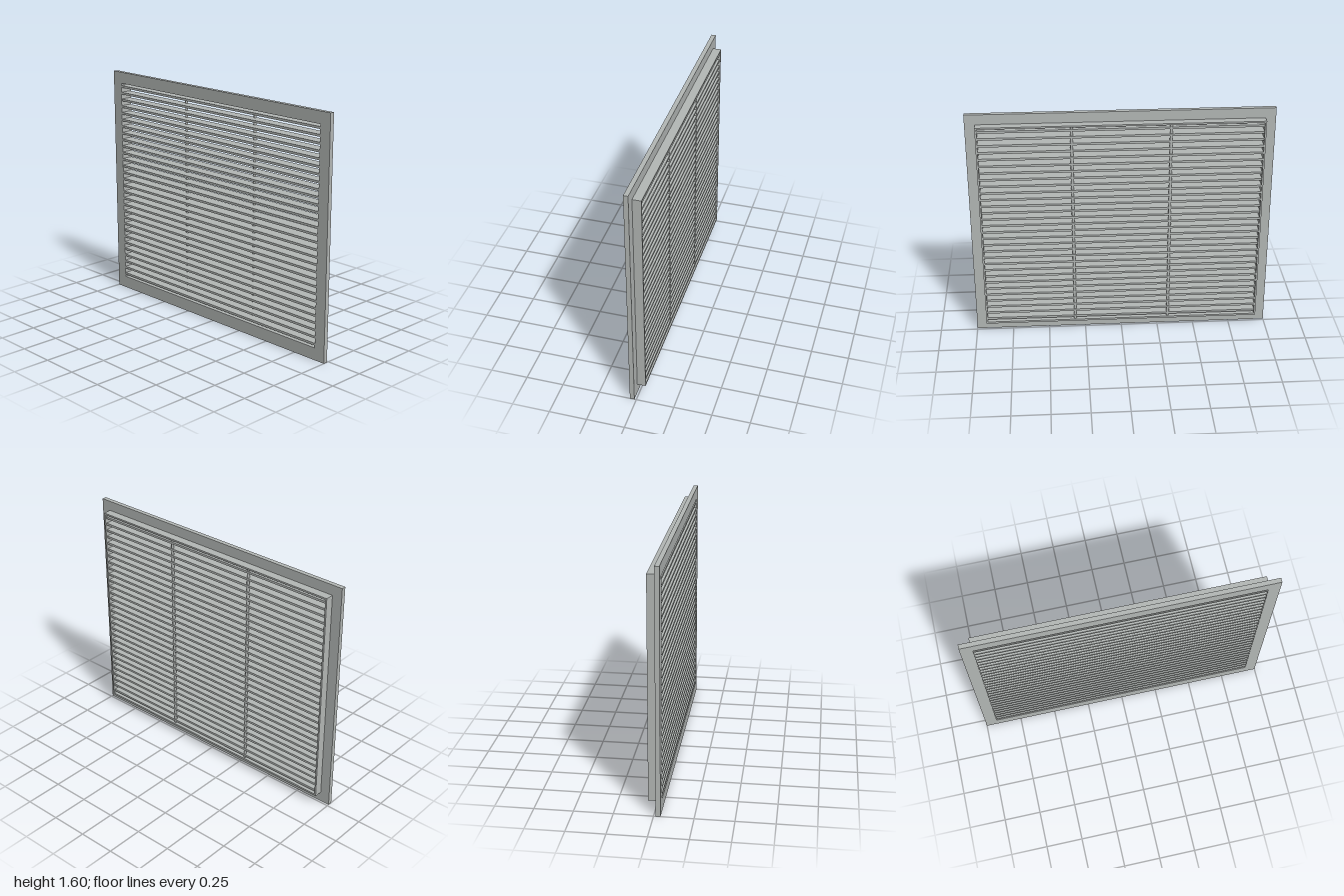
import * as THREE from 'three';

const metal = new THREE.MeshStandardMaterial({ color: 0xb4b8b6 });
metal.name = 'light grey metal';

// Rectangular outline centred on x, between two heights
function rect(target, halfWidth, bottom, top) {
  target.moveTo(-halfWidth, bottom);
  target.lineTo(halfWidth, bottom);
  target.lineTo(halfWidth, top);
  target.lineTo(-halfWidth, top);
  target.closePath();
  return target;
}

// Rectangular ring, extruded from zBack to zFront
function ring(name, outer, inner, zBack, zFront) {
  const shape = rect(new THREE.Shape(), ...outer);
  shape.holes.push(rect(new THREE.Path(), ...inner));
  const geometry = new THREE.ExtrudeGeometry(shape, { depth: zFront - zBack, bevelEnabled: false });
  geometry.translate(0, 0, zBack);
  const mesh = new THREE.Mesh(geometry, metal);
  mesh.name = name;
  return mesh;
}

export function createModel() {
  const model = new THREE.Group();
  model.name = 'ventGrille';

  const opening = [0.922, 0.083, 1.521];

  // Front flange and the sleeve behind it
  model.add(ring('frontFlange', [1, 0, 1.6], opening, 0.013, 0.043));
  model.add(ring('rearSleeve', [0.933, 0.07, 1.532], opening, -0.043, 0.013));

  // Horizontal slats
  const slats = new THREE.Group();
  slats.name = 'slats';
  const count = 30, pitch = 0.048;
  const slatGeometry = new THREE.BoxGeometry(1.846, 0.015, 0.078);
  for (let i = 0; i < count; i++) {
    const slat = new THREE.Mesh(slatGeometry, metal);
    slat.name = 'slat';
    slat.position.set(0, 0.802 + (i - (count - 1) / 2) * pitch, 0.003);
    slats.add(slat);
  }
  model.add(slats);

  // Upright rods tying the slats together near the back
  const rodGeometry = new THREE.CylinderGeometry(0.0095, 0.0095, 1.44, 16);
  for (const side of [-1, 1]) {
    const rod = new THREE.Mesh(rodGeometry, metal);
    rod.name = side > 0 ? 'leftRod' : 'rightRod';
    rod.position.set(side * 0.32, 0.802, -0.024);
    model.add(rod);
  }

  return model;
}
